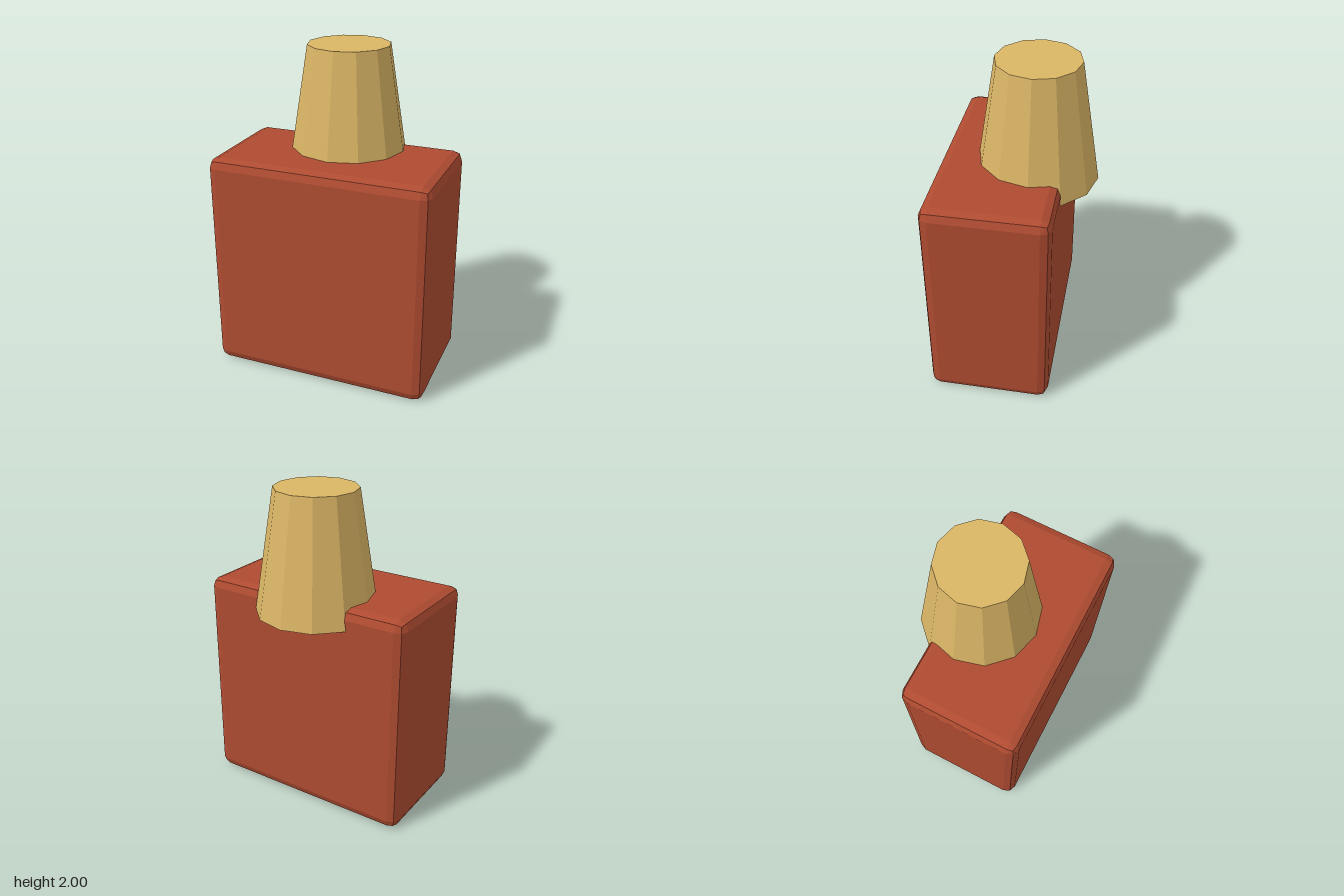
import * as THREE from 'three';

const red = new THREE.MeshStandardMaterial({ color: 0xae4b31 });
red.name = 'brick red';
const tan = new THREE.MeshStandardMaterial({ color: 0xdab565 });
tan.name = 'straw tan';

// One normal per face, for a faceted look.
function faceted(geometry) {
  const flat = geometry.toNonIndexed();
  flat.computeVertexNormals();
  return flat;
}

// Box with two-step bevels: outer vertices are pushed onto a radius around an inner box.
function beveledBox(width, height, depth, radius) {
  const geometry = new THREE.BoxGeometry(width, height, depth, 3, 3, 3);
  const inner = new THREE.Vector3(width, height, depth).multiplyScalar(0.5).subScalar(radius);
  const position = geometry.attributes.position;
  const p = new THREE.Vector3();
  const core = new THREE.Vector3();
  for (let i = 0; i < position.count; i++) {
    p.fromBufferAttribute(position, i);
    const half = [width / 2, height / 2, depth / 2];
    const outward = new THREE.Vector3();
    ['x', 'y', 'z'].forEach((axis, k) => {
      core[axis] = Math.sign(p[axis]) * inner[axis];
      if (Math.abs(p[axis]) > half[k] - 1e-5) outward[axis] = Math.sign(p[axis]);
    });
    p.copy(core).addScaledVector(outward.normalize(), radius);
    position.setXYZ(i, p.x, p.y, p.z);
  }
  return faceted(geometry);
}

export function createModel() {
  const model = new THREE.Group();
  model.name = 'block with tapered post';

  // Bevelled block, set towards the front
  const block = new THREE.Mesh(beveledBox(1.37, 1.376, 0.745, 0.06), red);
  block.name = 'block';
  block.position.set(0, 0.688, 0.094);
  model.add(block);

  // Twelve-sided tapered post, sunk into the block and overhanging its back
  const post = new THREE.Mesh(faceted(new THREE.CylinderGeometry(0.25, 0.37, 0.75, 12)), tan);
  post.name = 'post';
  post.position.set(0, 1.625, -0.097);
  model.add(post);

  return model;
}
